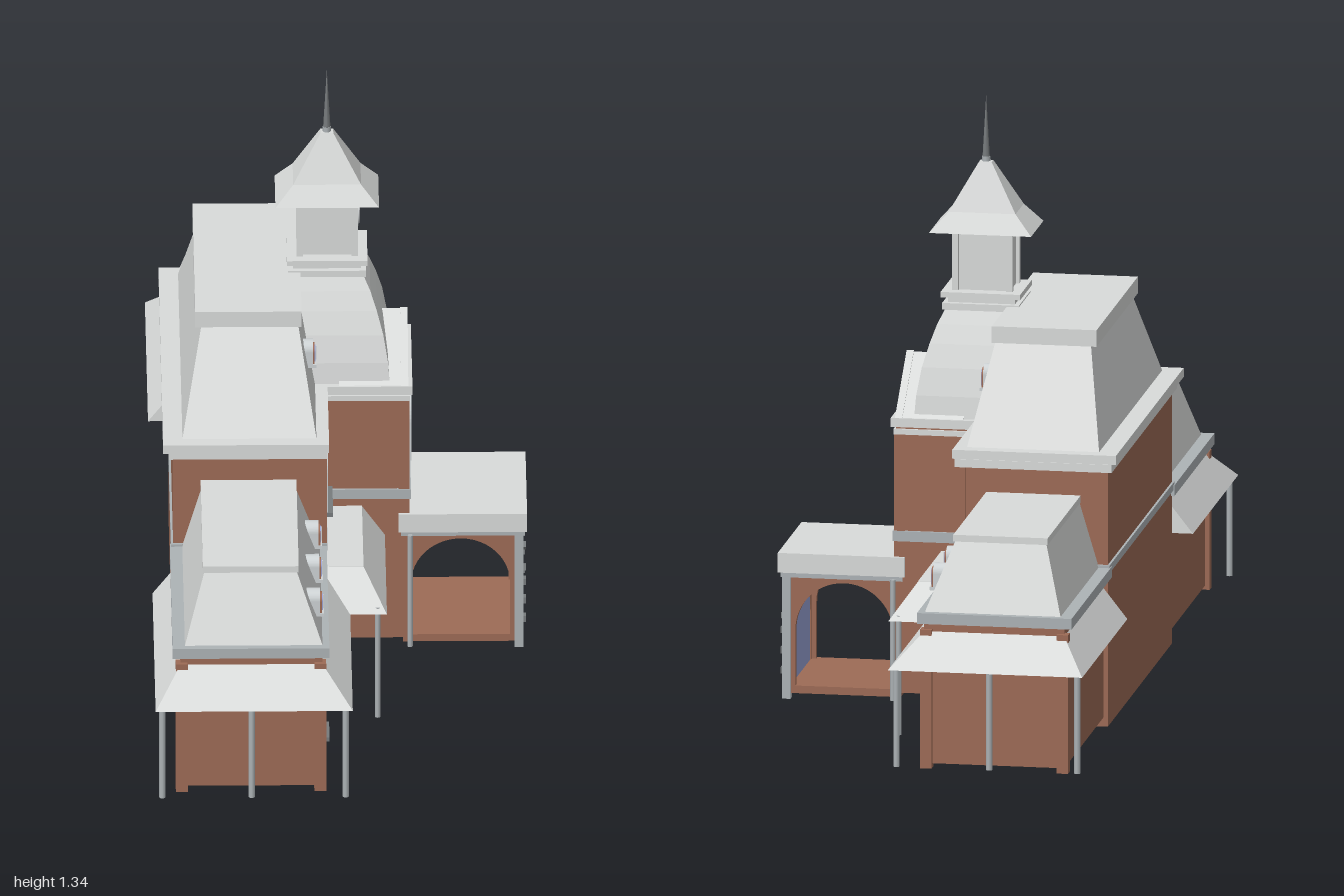
import * as THREE from 'three';

const mat = (name, color, side = THREE.FrontSide) => {
  const m = new THREE.MeshStandardMaterial({ color, side });
  m.name = name;
  return m;
};

export function createModel() {
  const root = new THREE.Group();
  root.name = 'stationBuilding';
  const roof = mat('pale roof grey', 0xd9dbda, THREE.DoubleSide);
  const brick = mat('brick', 0x9d6b56);
  const glass = mat('blue glass', 0x98a3d6);
  const frame = mat('window frame', 0xcdd2d4);
  const metal = mat('post grey', 0xadb3b6);
  const stone = mat('dark stone', 0x777b7d);
  const white = mat('clock white', 0xeeeeee);

  const add = (name, geo, m, parent = root) => {
    const mesh = new THREE.Mesh(geo, m);
    mesh.name = name;
    parent.add(mesh);
    return mesh;
  };
  // box from its limits
  const box = (name, m, x0, x1, y0, y1, z0, z1, parent) => {
    const b = add(name, new THREE.BoxGeometry(x1 - x0, y1 - y0, Math.abs(z1 - z0)), m, parent);
    b.position.set((x0 + x1) / 2, (y0 + y1) / 2, (z0 + z1) / 2);
    return b;
  };
  // stacked rectangular sections, each [y, x0, x1, z0, z1]
  const loft = (name, m, levels, capped = true) => {
    const ring = ([y, x0, x1, a, b]) => {
      const z0 = Math.min(a, b), z1 = Math.max(a, b);
      return [[x0, y, z0], [x0, y, z1], [x1, y, z1], [x1, y, z0]];
    };
    const rings = levels.map(ring), p = [];
    const quad = (a, b, c, d) => p.push(...a, ...b, ...c, ...a, ...c, ...d);
    for (let i = 0; i + 1 < rings.length; i++)
      for (let k = 0; k < 4; k++) {
        const n = (k + 1) % 4;
        quad(rings[i][k], rings[i][n], rings[i + 1][n], rings[i + 1][k]);
      }
    if (capped) {
      quad(...rings[rings.length - 1]);
      quad(...[...rings[0]].reverse());
    }
    const g = new THREE.BufferGeometry();
    g.setAttribute('position', new THREE.Float32BufferAttribute(p, 3));
    g.computeVertexNormals();
    return add(name, g, m);
  };
  // round-headed outline
  const arch = (half, bottom, top, cx = 0, Kind = THREE.Shape) => {
    const s = new Kind();
    s.moveTo(cx - half, bottom);
    s.lineTo(cx + half, bottom);
    s.lineTo(cx + half, top - half);
    s.absarc(cx, top - half, half, 0, Math.PI, false);
    s.lineTo(cx - half, bottom);
    return s;
  };
  const extrude = (shape, depth) =>
    new THREE.ExtrudeGeometry(shape, { depth, bevelEnabled: false, curveSegments: 12 });
  // outline extruded towards +x from plane x, centred on z
  const facing = (name, shape, m, x, z, depth, parent) => {
    const e = add(name, extrude(shape, depth).rotateY(Math.PI / 2), m, parent);
    e.position.set(x, 0, z);
    return e;
  };

  function archWindow(x, z, half, y0, y1, rim) {
    const g = new THREE.Group();
    g.name = 'archedWindow';
    root.add(g);
    const outline = arch(half, y0, y1);
    outline.holes.push(arch(half - rim, y0 + rim, y1 - rim, 0, THREE.Path));
    facing('windowGlass', arch(half - rim / 2, y0 + rim / 2, y1 - rim / 2), glass, x, z, 0.004, g);
    facing('windowFrame', outline, frame, x, z, 0.009, g);
    box('mullion', frame, x, x + 0.008, y0, y1 - 0.004, z - 0.005, z + 0.005, g);
    for (const t of [0.33, 0.62]) {
      const y = y0 + (y1 - y0) * t;
      box('glazingBar', frame, x, x + 0.007, y - 0.003, y + 0.003, z - half + 0.003, z + half - 0.003, g);
    }
    return g;
  }
  function squareWindow(x, z, w, y0, y1) {
    const g = new THREE.Group(), h = w / 2;
    g.name = 'squareWindow';
    root.add(g);
    box('windowGlass', glass, x, x + 0.004, y0, y1, z - h, z + h, g);
    for (const t of [-1, 0, 1])
      box('mullion', frame, x, x + 0.008, y0, y1, z + t * (h - 0.004) - 0.004, z + t * (h - 0.004) + 0.004, g);
    for (const t of [0.35, 0.7, 0.98])
      box('glazingBar', frame, x, x + 0.007, y0 + (y1 - y0) * t - 0.003, y0 + (y1 - y0) * t + 0.003, z - h, z + h, g);
    box('lintel', stone, x, x + 0.012, y1, y1 + 0.01, z - h - 0.006, z + h + 0.006, g);
    box('sill', stone, x, x + 0.016, y0 - 0.01, y0, z - h - 0.004, z + h + 0.004, g);
    for (const s of [-1, 1]) for (const t of [0.3, 0.75])
      box('jambStone', stone, x, x + 0.008, y0 + (y1 - y0) * t, y0 + (y1 - y0) * t + 0.012, z + s * (h + 0.004) - 0.004, z + s * (h + 0.004) + 0.004, g);
  }
  function dormer(x, z, y) {
    const g = new THREE.Group();
    g.name = 'dormer';
    root.add(g);
    facing('dormerBody', arch(0.021, y, y + 0.054), frame, x - 0.05, z, 0.048, g);
    facing('dormerSurround', arch(0.017, y + 0.002, y + 0.046), brick, x - 0.002, z, 0.004, g);
    facing('dormerGlass', arch(0.012, y + 0.007, y + 0.041), glass, x + 0.002, z, 0.002, g);
    box('dormerBar', frame, x, x + 0.006, y + 0.007, y + 0.04, z - 0.002, z + 0.002, g);
    box('dormerSill', frame, x - 0.02, x + 0.006, y - 0.004, y + 0.003, z - 0.021, z + 0.021, g);
  }
  const post = (x, z, y0, y1, r = 0.007) =>
    add('post', new THREE.CylinderGeometry(r, r, y1 - y0, 8), metal).position.set(x, (y0 + y1) / 2, z);

  // main block
  box('mainWalls', brick, -0.365, -0.035, 0.03, 0.61, -0.41, 0.41);
  box('stringCourse', metal, -0.37, -0.028, 0.375, 0.392, -0.416, 0.416);
  box('lowerCornice', roof, -0.375, -0.028, 0.6, 0.618, -0.42, 0.42);
  box('upperCornice', roof, -0.387, -0.025, 0.622, 0.642, -0.435, 0.435);
  box('corniceCore', roof, -0.37, -0.033, 0.615, 0.625, -0.415, 0.415);
  loft('mainRoof', roof, [[0.64, -0.345, -0.052, -0.405, 0.405], [0.845, -0.302, -0.09, -0.26, 0.26]]);
  box('mainRoofCap', roof, -0.315, -0.083, 0.845, 0.882, -0.265, 0.265);

  for (const s of [-1, 1]) {
    // wings
    box('wingWalls', brick, -0.355, -0.045, 0.05, 0.365, s * 0.4, s * 0.91);
    for (const x of [-0.352, -0.05])
      box('wingPilaster', brick, x - 0.013, x + 0.013, 0.04, 0.35, s * 0.895, s * 0.92);
    box('wingCornice', metal, -0.372, -0.03, 0.362, 0.386, s * 0.4, s * 0.916);
    loft('wingRoof', roof, [[0.386, -0.345, -0.045, s * 0.4, s * 0.9], [0.53, -0.302, -0.1, s * 0.4, s * 0.83]]);
    box('wingRoofCap', roof, -0.305, -0.096, 0.53, 0.545, s * 0.4, s * 0.833);
    loft('wingAwning', roof, [[0.275, -0.41, 0.02, s * 0.42, s], [0.345, -0.355, -0.045, s * 0.42, s * 0.91]], false);
    for (const x of [-0.395, -0.2, 0.005]) post(x, s * 0.975, 0.055, 0.284);
    for (const z of [0.81, 0.63, 0.48]) squareWindow(-0.045, s * z, 0.07, 0.135, 0.25);
    for (const z of [0.8, 0.635, 0.47]) dormer(-0.047, s * z, 0.42);

    // awning beside the entrance
    loft('sideAwning', roof, [[0.275, -0.035, 0.1, s * 0.14, s * 0.53], [0.345, -0.035, 0.05, s * 0.14, s * 0.435]], false);
    box('sideAwningTop', roof, -0.035, 0.05, 0.34, 0.346, s * 0.14, s * 0.435);
    post(0.08, s * 0.513, 0.018, 0.285, 0.006);

    // main block openings and pilasters
    squareWindow(-0.035, s * 0.26, 0.08, 0.135, 0.255);
    archWindow(-0.035, s * 0.26, 0.063, 0.42, 0.58, 0.011);
    box('archSill', stone, -0.035, -0.015, 0.412, 0.421, s * 0.26 - 0.066, s * 0.26 + 0.066);
    dormer(-0.056, s * 0.21, 0.732);
    box('mainPilaster', brick, -0.05, -0.029, 0.03, 0.6, s * 0.39, s * 0.413);
    box('pavilionPilaster', brick, 0.13, 0.154, 0.03, 0.61, s * 0.12, s * 0.144);
  }

  // central pavilion with pediment
  box('pavilionWalls', brick, -0.05, 0.15, 0.025, 0.625, -0.14, 0.14);
  box('pavilionStringCourse', metal, -0.03, 0.157, 0.365, 0.388, -0.146, 0.146);
  box('pavilionLowerCornice', roof, -0.03, 0.155, 0.604, 0.616, -0.146, 0.146);
  box('pavilionUpperCornice', roof, -0.03, 0.16, 0.622, 0.642, -0.153, 0.153);
  archWindow(0.15, 0, 0.068, 0.42, 0.58, 0.011);
  const gable = new THREE.Shape([[-0.15, 0.64], [0.15, 0.64], [0, 0.757]].map(p => new THREE.Vector2(...p)));
  facing('pedimentRoof', gable, roof, 0, 0, 0.142);
  const rake = new THREE.Shape([[-0.153, 0.64], [-0.13, 0.64], [0, 0.742], [0.13, 0.64], [0.153, 0.64], [0, 0.76]].map(p => new THREE.Vector2(...p)));
  facing('pedimentRake', rake, roof, 0.135, 0, 0.016);
  for (let i = 0; i < 4; i++) {
    const a = i * Math.PI / 2, y = 0.692 + 0.015 * Math.sin(a), z = 0.015 * Math.cos(a);
    for (const [n, m, r, x] of [['rosetteRim', stone, 0.014, 0.143], ['rosetteGlass', glass, 0.01, 0.145]])
      add(n, new THREE.CylinderGeometry(r, r, 0.004, 12).rotateZ(Math.PI / 2), m).position.set(x, y, z);
  }

  // tower: bell roof, ledges, belfry, spire
  const cx = -0.025;
  const level = (y, hx, hz) => [y, cx - hx, cx + hx, -hz, hz];
  loft('bellRoof', roof, [level(0.635, 0.136, 0.14), level(0.69, 0.132, 0.133), level(0.75, 0.122, 0.118),
    level(0.8, 0.108, 0.1), level(0.84, 0.094, 0.082), level(0.875, 0.077, 0.064)]);
  loft('towerLedge', roof, [level(0.87, 0.085, 0.073), level(0.885, 0.085, 0.073)]);
  loft('towerNeck', roof, [level(0.88, 0.074, 0.06), level(0.9, 0.074, 0.06)]);
  loft('towerUpperLedge', roof, [level(0.898, 0.088, 0.075), level(0.91, 0.088, 0.075)]);
  loft('belfry', roof, [level(0.91, 0.06, 0.043), level(1.045, 0.06, 0.043)]);
  for (const sx of [-1, 1]) for (const sz of [-1, 1])
    box('belfryCorner', roof, cx + sx * 0.06 - 0.007, cx + sx * 0.06 + 0.007, 0.91, 1.042, sz * 0.036, sz * 0.051);
  box('clockPanel', brick, 0.033, 0.039, 0.935, 1.035, -0.036, 0.036);
  const disc = (name, m, r, x) =>
    add(name, new THREE.CylinderGeometry(r, r, 0.005, 24).rotateZ(Math.PI / 2), m).position.set(x, 0.998, 0);
  disc('clockRim', metal, 0.036, 0.041);
  disc('clockFace', white, 0.031, 0.043);
  box('minuteHand', stone, 0.044, 0.047, 0.998, 1.022, -0.002, 0.002);
  box('hourHand', stone, 0.044, 0.047, 0.996, 1.0, -0.018, 0);
  loft('towerRoof', roof, [level(1.042, 0.113, 0.08), level(1.085, 0.074, 0.053), level(1.19, 0.014, 0.011)]);
  add('spire', new THREE.ConeGeometry(0.009, 0.155, 8), stone).position.set(cx, 1.262, 0);
  add('spireCollar', new THREE.CylinderGeometry(0.009, 0.009, 0.012, 8), metal).position.set(cx, 1.195, 0);

  // entrance porch
  box('porchFloor', brick, 0.14, 0.4, 0.015, 0.032, -0.14, 0.14);
  const rect = (u0, u1, v0, v1) => new THREE.Shape([[u0, v0], [u1, v0], [u1, v1], [u0, v1]].map(p => new THREE.Vector2(...p)));
  for (const s of [-1, 1]) {
    const side = rect(0.14, 0.395, 0.015, 0.285);
    side.holes.push(arch(0.108, 0.03, 0.265, 0.265, THREE.Path));
    add('porchSideArch', extrude(side, 0.014), brick).position.z = s * 0.133 - 0.007;
    box('porchCorner', metal, 0.383, 0.402, 0.003, 0.28, s * 0.128, s * 0.146);
    post(0.155, s * 0.153, 0.01, 0.28, 0.006);
    // stones along the front arch
    for (const y of [0.055, 0.1, 0.145])
      box('archStone', stone, 0.39, 0.408, y, y + 0.014, s * 0.11, s * 0.128);
    for (const a of [0.35, 0.75, 1.15]) {
      const b = add('archStone', new THREE.BoxGeometry(0.018, 0.014, 0.018), stone);
      b.position.set(0.399, 0.14 + 0.12 * Math.sin(a), s * 0.12 * Math.cos(a));
      b.rotation.x = -s * a;
    }
  }
  const front = rect(-0.14, 0.14, 0.015, 0.285);
  front.holes.push(arch(0.115, 0.03, 0.255, 0, THREE.Path));
  facing('porchFrontArch', front, brick, 0.383, 0, 0.014);
  const entrance = archWindow(0.388, 0, 0.115, 0.03, 0.255, 0.008);
  entrance.name = 'entranceGlazing';
  facing('entranceGlassInside', arch(0.113, 0.03, 0.253), glass, 0.384, 0, 0.004, entrance);
  box('porchCornice', metal, 0.135, 0.405, 0.275, 0.288, -0.147, 0.147);
  box('porchRoof', roof, 0.13, 0.41, 0.286, 0.33, -0.152, 0.152);

  return root;
}
